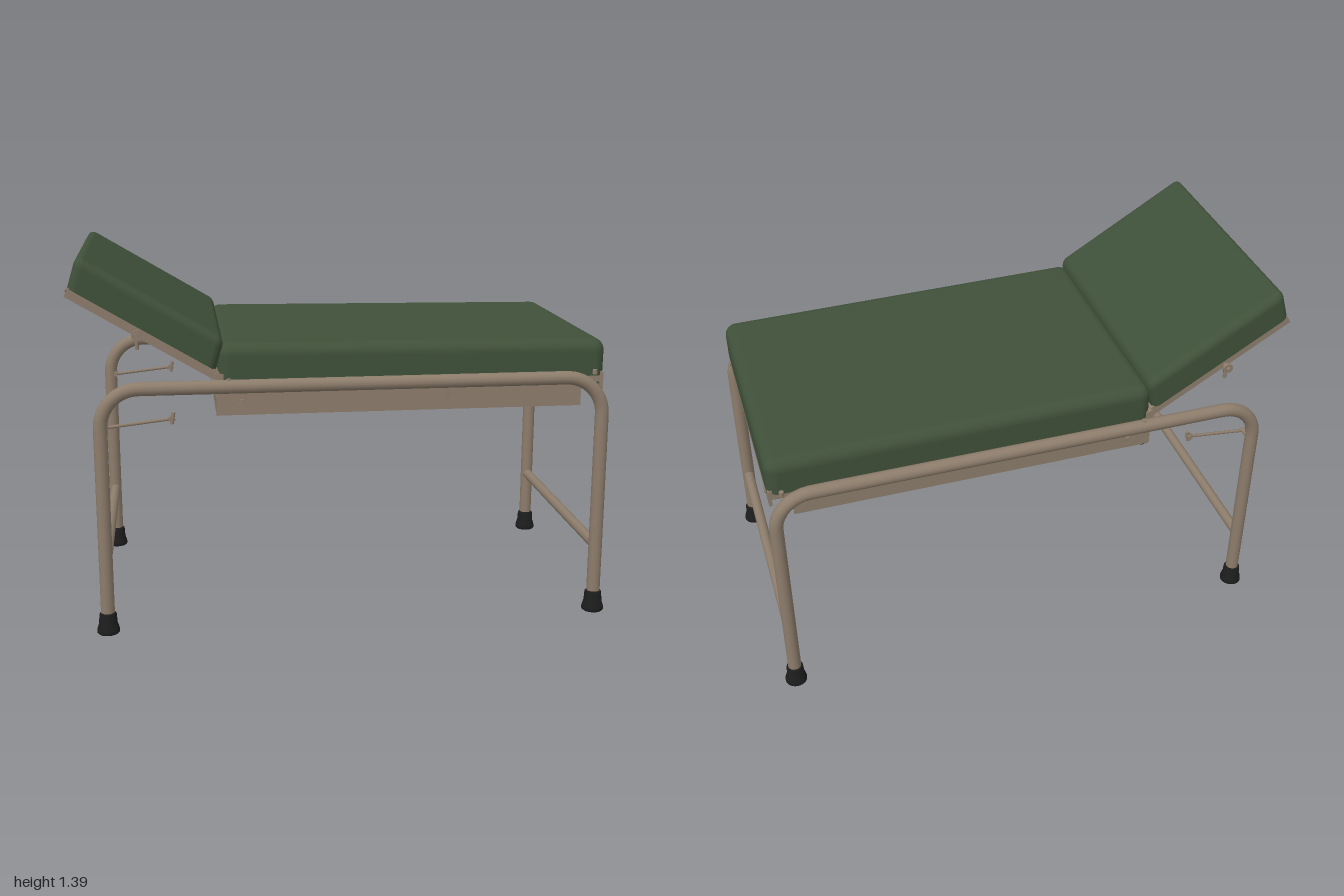
import * as THREE from 'three';
import { RoundedBoxGeometry } from 'three/addons/geometries/RoundedBoxGeometry.js';

const paint = (name, color) => {
  const m = new THREE.MeshStandardMaterial({ color });
  m.name = name;
  return m;
};

// Cushion with rounded top edges and a flat, square-edged underside at y = 0
function cushionGeometry(w, h, d, radius) {
  const geometry = new RoundedBoxGeometry(w, h + radius, d, 5, radius);
  geometry.translate(0, (h - radius) / 2, 0);
  const p = geometry.attributes.position;
  for (let i = 0; i < p.count; i++) p.setY(i, Math.max(0, p.getY(i)));
  return geometry;
}

export function createModel() {
  const model = new THREE.Group();
  model.name = 'examinationCouch';
  const green = paint('green vinyl', 0x3f5039);
  const steel = paint('taupe painted steel', 0x8c7c6b);
  const rubber = paint('black rubber', 0x1d1d1e);

  const add = (parent, name, geometry, material, x = 0, y = 0, z = 0) => {
    const mesh = new THREE.Mesh(geometry, material);
    mesh.name = name;
    mesh.position.set(x, y, z);
    parent.add(mesh);
    return mesh;
  };
  const box = (parent, name, w, h, d, x, y, z, material = steel) =>
    add(parent, name, new THREE.BoxGeometry(w, h, d), material, x, y, z);
  // Round bar between two points
  const rod = (parent, name, a, b, r, sides = 12) => {
    const from = new THREE.Vector3(...a), to = new THREE.Vector3(...b);
    const dir = to.clone().sub(from);
    const mesh = add(parent, name, new THREE.CylinderGeometry(r, r, dir.length(), sides), steel);
    mesh.position.copy(from).add(to).multiplyScalar(0.5);
    mesh.quaternion.setFromUnitVectors(new THREE.Vector3(0, 1, 0), dir.normalize());
    return mesh;
  };

  // Bent tube: leg, top rail, leg
  const legs = [-0.893, 0.964], railY = 0.924, tubeZ = 0.496;
  const v = (x, y) => new THREE.Vector3(x, y, 0);
  const [l, r] = legs, bend = 0.14, k = bend * 0.45;
  const path = new THREE.CurvePath();
  path.add(new THREE.LineCurve3(v(l, 0.05), v(l, railY - bend)));
  path.add(new THREE.CubicBezierCurve3(v(l, railY - bend), v(l, railY - k), v(l + k, railY), v(l + bend, railY)));
  path.add(new THREE.LineCurve3(v(l + bend, railY), v(r - bend, railY)));
  path.add(new THREE.CubicBezierCurve3(v(r - bend, railY), v(r - k, railY), v(r, railY - k), v(r, railY - bend)));
  path.add(new THREE.LineCurve3(v(r, railY - bend), v(r, 0.05)));
  const tube = new THREE.TubeGeometry(path, 140, 0.0255, 16);

  // Flared rubber foot profile
  const foot = new THREE.LatheGeometry(
    [[0, 0], [0.037, 0], [0.042, 0.005], [0.041, 0.018], [0.034, 0.04], [0.032, 0.074], [0.027, 0.081], [0, 0.081]]
      .map(([x, y]) => new THREE.Vector2(x, y)), 20);

  // Tapered gusset, deep at the side rail and ending at the centre line
  const gussetShape = new THREE.Shape([[0, 0.808], [0.46, 0.808], [0.46, 0.88], [0, 0.812]]
    .map(([x, y]) => new THREE.Vector2(x, y)));
  const gusset = new THREE.ExtrudeGeometry(gussetShape, { depth: 0.008, bevelEnabled: false });

  for (const s of [-1, 1]) {
    add(model, 'legFrame', tube, steel, 0, 0, s * tubeZ);
    for (const x of legs) add(model, 'foot', foot, rubber, x, 0, s * tubeZ);

    // Hanging side rail with a stepped sleeve
    box(model, 'sideRail', 1.36, 0.09, 0.008, 0.21, 0.855, s * 0.459);
    box(model, 'railLip', 0.77, 0.035, 0.008, -0.005, 0.88, s * 0.466);
    box(model, 'railSleeve', 0.49, 0.06, 0.014, 0.625, 0.872, s * 0.469);
    box(model, 'mattressRail', 1.43, 0.04, 0.01, 0.25, 0.92, s * 0.462);
    for (const x of [-0.38, 0.85])
      rod(model, 'railBolt', [x, 0.862, s * 0.455], [x, 0.862, s * 0.481], 0.01);
    for (const x of [-0.43, 0.93])
      rod(model, 'tubeScrew', [x, 0.935, s * tubeZ], [x, 0.952, s * tubeZ], 0.009);
    const plate = add(model, 'headGusset', gusset, steel, s > 0 ? -0.466 : -0.474);
    plate.rotation.y = -s * Math.PI / 2;

    // Loose support strut with its clamp
    rod(model, 'supportStrut', [-0.875, 0.778, s * 0.466], [-0.625, 0.806, s * 0.466], 0.006, 8);
    rod(model, 'strutPivot', [-0.872, 0.778, s * 0.455], [-0.872, 0.778, s * 0.495], 0.009);
    rod(model, 'strutClamp', [-0.637, 0.785, s * 0.466], [-0.63, 0.828, s * 0.466], 0.007);
    rod(model, 'strutKnob', [-0.64, 0.804, s * 0.453], [-0.64, 0.804, s * 0.478], 0.01);
    // Hinge
    rod(model, 'hingePin', [-0.47, 0.958, s * 0.44], [-0.47, 0.958, s * 0.474], 0.014);
    box(model, 'hingePlate', 0.05, 0.08, 0.008, -0.455, 0.925, s * 0.465);
  }

  // Low cross bars joining the legs
  for (const x of legs)
    rod(model, 'crossBar', [x, 0.263, -tubeZ], [x, 0.263, tubeZ], 0.02, 16);

  // Foot end rail and the base board between the rails
  box(model, 'endRail', 0.012, 0.065, 0.93, 0.968, 0.902, 0);
  for (const z of [-0.41, 0.41])
    rod(model, 'endRailBolt', [0.967, 0.902, z], [0.98, 0.902, z], 0.011);
  box(model, 'baseBoard', 1.42, 0.05, 0.91, 0.252, 0.914, 0, green);

  // Main mattress, sloping slightly to the foot end
  const mattress = add(model, 'mattress', cushionGeometry(1.446, 0.137, 0.952, 0.045), green, 0.254, 0.932, 0);
  mattress.rotation.z = -0.011;

  // Raised headrest, tilted about the hinge; its cushion leans outwards
  const head = new THREE.Group();
  head.name = 'headrest';
  head.position.set(-0.485, 0.947, 0);
  head.rotation.z = -0.54;
  model.add(head);
  const cushion = cushionGeometry(0.6, 0.116, 0.955, 0.032);
  cushion.applyMatrix4(new THREE.Matrix4().makeShear(0, 0, -0.25, 0, 0, 0));
  add(head, 'headCushion', cushion, green, -0.307, 0.033, 0);
  for (const s of [-1, 1]) {
    box(head, 'headRail', 0.604, 0.036, 0.008, -0.3, 0.018, s * 0.464);
    rod(head, 'headKnobStem', [-0.317, 0.008, s * 0.45], [-0.317, 0.008, s * 0.508], 0.009);
    rod(head, 'headKnob', [-0.317, 0.008, s * 0.486], [-0.317, 0.008, s * 0.498], 0.019);
    rod(head, 'headLatch', [-0.317, 0.008, s * 0.476], [-0.29, -0.037, s * 0.476], 0.007, 8);
  }
  for (const x of [-0.598, -0.004])
    box(head, 'headCrossRail', 0.01, 0.036, 0.93, x, 0.018, 0);
  for (const z of [-0.4, 0.4])
    rod(head, 'headBolt', [-0.598, 0.018, z], [-0.608, 0.018, z], 0.01);

  return model;
}
